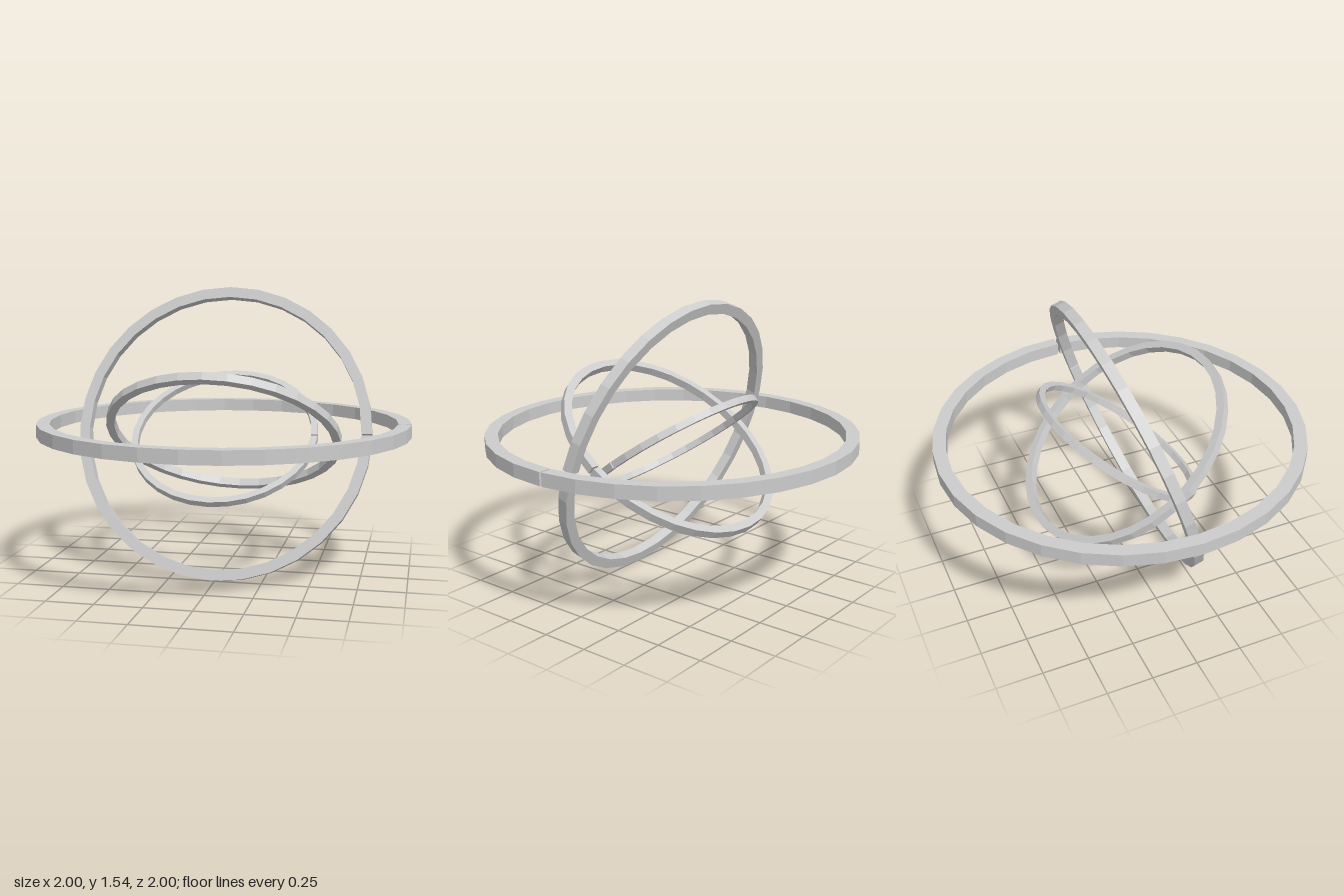
import * as THREE from 'three';

// Flat band with a narrow slit at +x, lying in the XZ plane and rising along +y
function splitRing(outer, inner, height, gap) {
  const shape = new THREE.Shape();
  shape.absarc(0, 0, outer, gap, Math.PI * 2 - gap, false);
  shape.absarc(0, 0, inner, Math.PI * 2 - gap, gap, true);
  const geometry = new THREE.ExtrudeGeometry(shape, {
    depth: height, bevelEnabled: false, curveSegments: 16,
  });
  return geometry.rotateX(-Math.PI / 2);
}

export function createModel() {
  const model = new THREE.Group();
  model.name = 'nestedRings';
  const material = new THREE.MeshStandardMaterial({ color: 0xcccccc, flatShading: true });
  const names = ['outerRing', 'secondRing', 'thirdRing', 'innerRing'];

  // Each ring is smaller than the last and turned a further 72 degrees about x
  names.forEach((name, i) => {
    const s = Math.pow(0.798, i);
    const ring = new THREE.Mesh(splitRing(s, 0.93 * s, 0.07 * s, 0.007), material);
    ring.name = name;
    ring.rotation.x = THREE.MathUtils.degToRad(72 * i);
    ring.position.y = 0.759;
    model.add(ring);
  });
  return model;
}
